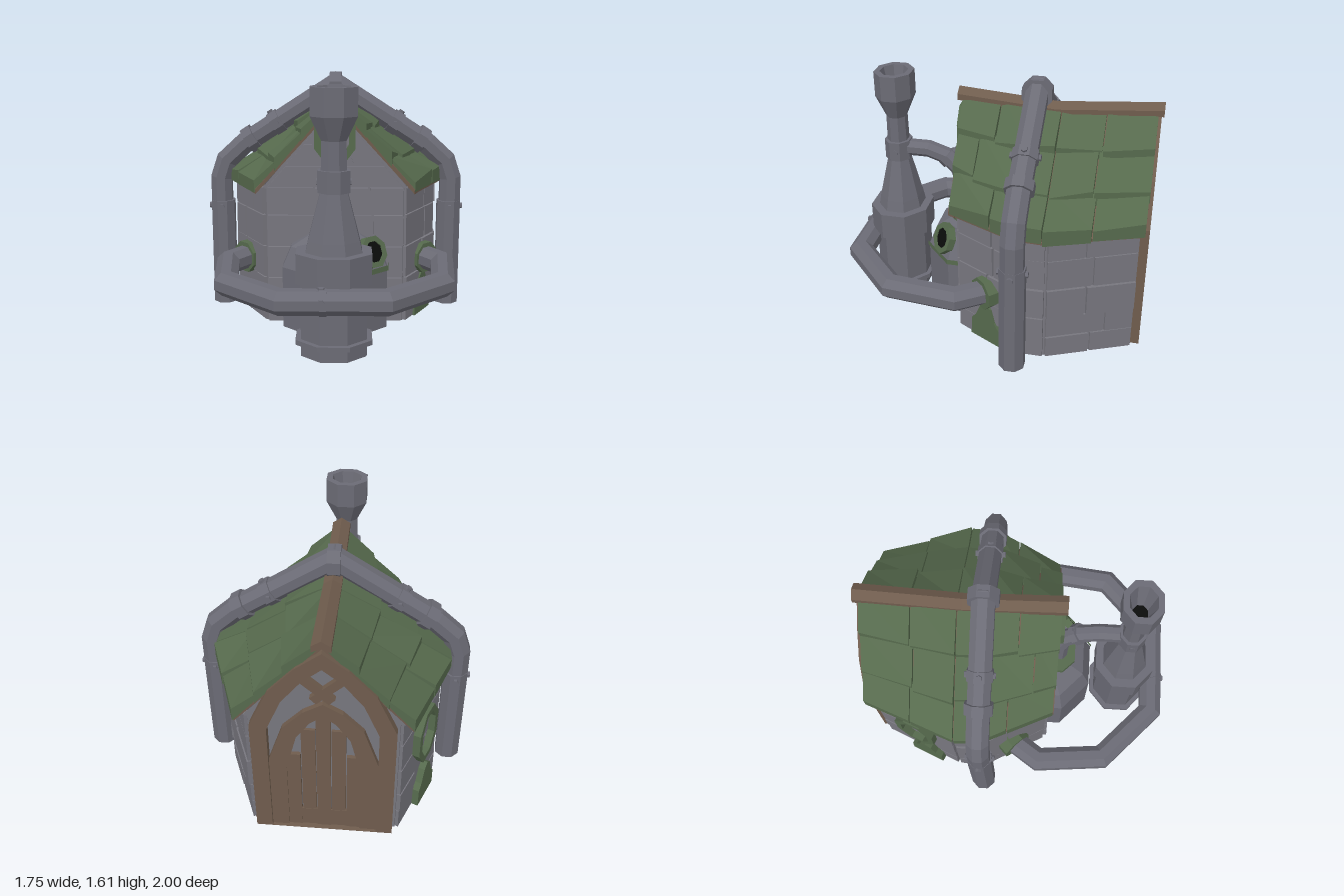
import * as THREE from 'three';

const V = (x, y, z) => new THREE.Vector3(x, y, z);
const std = (name, color, side = THREE.DoubleSide) => {
  const m = new THREE.MeshStandardMaterial({ color, side });
  m.name = name;
  return m;
};

export function createModel() {
  const model = new THREE.Group();
  model.name = 'stoneWorkshop';
  const stone = std('stone', 0x77767e), metal = std('metal', 0x6b6b75);
  const green = std('mossGreen', 0x566a4d), wood = std('wood', 0x6f5c4d), black = std('blackOpening', 0x0b0c0b);
  let seed = 7;
  const rnd = () => (seed = (seed * 16807) % 2147483647) / 2147483647;

  const add = (name, geo, mat) => {
    const g = geo.index ? geo.toNonIndexed() : geo;
    g.computeVertexNormals(); // faceted normals
    const m = new THREE.Mesh(g, mat);
    m.name = name;
    model.add(m);
    return m;
  };
  // Skin over a series of equal-sized rings of points
  const loft = (rings, caps = true) => {
    const pos = [], n = rings[0].length;
    const tri = (...p) => p.forEach(v => pos.push(v.x, v.y, v.z));
    for (let i = 0; i + 1 < rings.length; i++)
      for (let j = 0; j < n; j++) {
        const k = (j + 1) % n, a = rings[i], b = rings[i + 1];
        tri(a[j], a[k], b[k]);
        tri(a[j], b[k], b[j]);
      }
    if (caps) {
      const a = rings[0], b = rings[rings.length - 1];
      for (let j = 1; j < n - 1; j++) { tri(a[0], a[j + 1], a[j]); tri(b[0], b[j], b[j + 1]); }
    }
    return new THREE.BufferGeometry().setAttribute('position', new THREE.Float32BufferAttribute(pos, 3));
  };
  // Block between an outer quad and an inner quad; flip for mirrored sides
  const slab = (inner, outer, flip) => loft(flip ? [[...inner].reverse(), [...outer].reverse()] : [inner, outer]);
  // Eight-sided mitred pipe along a flat path with plane normal b
  const pipe = (path, r, b) => loft(path.map((p, i) => {
    const t0 = p.clone().sub(path[Math.max(i - 1, 0)]).normalize();
    const t1 = path[Math.min(i + 1, path.length - 1)].clone().sub(p).normalize();
    if (i === 0) t0.copy(t1);
    if (i === path.length - 1) t1.copy(t0);
    const t = t0.clone().add(t1).normalize(), n = b.clone().cross(t), k = r / 0.95 / t.dot(t0);
    return Array.from({ length: 8 }, (_, j) => {
      const a = (j + 0.5) * Math.PI / 4;
      return p.clone().addScaledVector(n, Math.cos(a) * k).addScaledVector(b, Math.sin(a) * r / 0.95);
    });
  }));
  // Short cylinder centred at p along direction d
  const disc = (name, p, d, r, h, mat, sides = 8) => {
    const g = new THREE.CylinderGeometry(r, r, h, sides);
    g.rotateY(Math.PI / sides);
    const m = add(name, g, mat);
    m.position.copy(p);
    m.quaternion.setFromUnitVectors(V(0, 1, 0), d.clone().normalize());
    return m;
  };
  const bolt = (p, d) => disc('bolt', p, d, 0.02, 0.03, metal, 6);
  const poly = pts => new THREE.Shape(pts.map(p => new THREE.Vector2(p[0], p[1])));
  const extrude = (shape, depth) => new THREE.ExtrudeGeometry(shape, { depth, bevelEnabled: false });

  // Wall core, open below
  const half = [[0.44, 0.185], [0.66, -0.2], [0.66, -0.4], [0.44, -0.93]];
  const plan = [[-0.44, 0.185], ...half, ...half.slice(1).reverse().map(p => [-p[0], p[1]])];
  add('wallCore', loft([0, 0.91].map(y => plan.map(p => V(p[0], y, p[1]))), false), stone);
  for (const z of [0.185, -0.93]) {
    const g = add('gableWall', new THREE.ShapeGeometry(poly([[-0.47, 0.89], [0.47, 0.89], [0, 1.44]])), stone);
    g.position.z = z;
  }
  // Stone blocks
  const rows = [0, 0.15, 0.3, 0.51, 0.72, 0.9];
  const blocks = (p, q, y0, y1, cuts, slope = 0) => {
    const d = V(q[0] - p[0], 0, q[1] - p[1]), n = V(-d.z, 0, d.x).normalize();
    for (let i = 0; i + 1 < cuts.length; i++) {
      const out = 0.012 + rnd() * 0.016, g = 0.007;
      const at = (f, y, o, s) => {
        const k = 0.5 + (f - 0.5) * (y === y1 ? 1 - slope : 1);
        return V(p[0] + d.x * k, y, p[1] + d.z * k).addScaledVector(n, o).addScaledVector(d.clone().normalize(), s * g);
      };
      const quad = o => [at(cuts[i], y0, o, 1), at(cuts[i + 1], y0, o, -1), at(cuts[i + 1], y1, o, -1), at(cuts[i], y1, o, 1)];
      const a = quad(-0.01), b = quad(out);
      [a, b].forEach(r => { r[0].y += g / 2; r[1].y += g / 2; r[2].y -= g / 2; r[3].y -= g / 2; });
      add('stoneBlock', slab(a, b), stone);
    }
  };
  plan.forEach((p, i) => {
    if (i === 4) return; // doorway side
    const q = plan[(i + 1) % plan.length], len = Math.hypot(q[0] - p[0], q[1] - p[1]);
    for (let r = 0; r < 5; r++) {
      const c = 0.3 + rnd() * 0.4;
      blocks(p, q, rows[r], rows[r + 1], len < 0.3 ? [0, 1] : len > 0.7 ? [0, c * 0.6, c * 0.6 + 0.4, 1] : [0, c, 1]);
    }
  });
  [0.9, 1.04, 1.18, 1.34].forEach((y, i, a) => {
    if (i === 3) return;
    const w = 0.44 * (1.42 - y) / 0.52, w2 = 0.44 * (1.42 - a[i + 1]) / 0.52;
    blocks([-w, 0.185], [w, 0.185], y, a[i + 1], i === 1 ? [0, 0.35, 0.7, 1] : [0, 0.5, 1], 1 - w2 / w);
  });

  // Roof: ruled surface from sagging ridge to bulging eave
  const along = (z, pts) => {
    for (let i = 0; i + 1 < pts.length; i++)
      if (z >= pts[i + 1][0] || i === pts.length - 2)
        return THREE.MathUtils.mapLinear(z, pts[i][0], pts[i + 1][0], pts[i][1], pts[i + 1][1]);
  };
  const eave = z => along(z, [[0.25, 0.5], [-0.2, 0.715], [-0.38, 0.725], [-0.97, 0.515]]);
  const ridge = z => along(z, [[0.25, 1.48], [-0.35, 1.435], [-0.97, 1.48]]);
  const roof = (s, u, z, lift) => V(s * eave(z) * u, THREE.MathUtils.lerp(ridge(z), 0.91, u) + lift, z);
  const deckZ = [0.22, 0.08, -0.06, -0.2, -0.38, -0.53, -0.67, -0.81, -0.955];
  for (const s of [1, -1]) {
    for (let i = 0; i + 1 < deckZ.length; i++)
      for (const [u0, u1] of [[0, 0.5], [0.5, 0.99]]) {
        const q = l => [[u0, i], [u1, i], [u1, i + 1], [u0, i + 1]].map(([u, k]) => roof(s, u, deckZ[k], l));
        add('roofDeck', slab(q(-0.05), q(-0.032), s < 0), wood);
      }
    [[0, 0.38], [0.33, 0.71], [0.66, 1]].forEach(([u0, u1], r) => {
      const cuts = [[0.25, 0, -0.2, -0.38, -0.66, -0.97], [0.245, 0.1, -0.18, -0.38, -0.64, -0.97], [0.235, -0.05, -0.2, -0.38, -0.66, -0.965]][r];
      for (let i = 0; i < 5; i++) {
        const za = cuts[i] - 0.004, zb = cuts[i + 1] + 0.004, e = u1 + rnd() * (r < 2 ? 0.05 : 0.02);
        const h1 = 0.025 + rnd() * 0.045, h2 = 0.025 + rnd() * 0.045;
        const top = [roof(s, u0, za, 0.01), roof(s, e, za, h1), roof(s, e, zb, h2), roof(s, u0, zb, 0.01)];
        const bot = [roof(s, u0, za, -0.022), roof(s, e, za, -0.032), roof(s, e, zb, -0.032), roof(s, u0, zb, -0.022)];
        add('shingle', slab(bot, top, s < 0), green);
      }
    });
    const f = z => [roof(s, 0, z, -0.06), roof(s, 1, z, -0.045), roof(s, 1, z, -0.015), roof(s, 0, z, -0.015)];
    add('gableTrim', slab(f(0.19), f(0.238), s < 0), wood);
  }
  add('ridgeBeam', loft([[0.28, 1.515], [-0.35, 1.465], [-1, 1.515]].map(([z, y]) =>
    [[0, 0], [0.055, -0.035], [0.055, -0.075], [0, -0.05], [-0.055, -0.075], [-0.055, -0.035]].map(p => V(p[0], y + p[1], z)))), wood);

  // Arched doorway at the back
  const arch = (w, spring, mid, top) => [[-w, 0], [w, 0], [w, spring], [w * 0.72, mid], [w * 0.35, (mid + top) / 2 + 0.03], [0, top],
    [-w * 0.35, (mid + top) / 2 + 0.03], [-w * 0.72, mid], [-w, spring]];
  const archFrame = (name, a, b, z, depth) => {
    const s = poly(arch(...a));
    s.holes.push(new THREE.Path(arch(...b).map(p => new THREE.Vector2(p[0], Math.max(p[1], 0.002)))));
    add(name, extrude(s, depth), wood).position.z = z;
  };
  archFrame('outerDoorArch', [0.425, 0.86, 1.13, 1.42], [0.325, 0.84, 1.06, 1.31], -0.985, 0.07);
  archFrame('innerDoorArch', [0.33, 0.56, 0.84, 1.04], [0.22, 0.52, 0.77, 0.95], -0.965, 0.05);
  for (let i = 0; i < 5; i++) {
    const x = -0.18 + i * 0.09, h = [0.62, 0.82, 0.97, 0.82, 0.62][i];
    add('doorPlank', new THREE.BoxGeometry(0.084, h, 0.03), wood).position.set(x, h / 2, -0.94 + (i % 2) * 0.008);
  }
  for (const s of [1, -1]) {
    const m = add('archBrace', new THREE.BoxGeometry(0.3, 0.055, 0.035), wood);
    m.position.set(s * 0.055, 1.17, -0.955);
    m.rotation.z = s * 0.75;
  }
  add('doorSill', new THREE.BoxGeometry(0.76, 0.14, 0.32), wood).position.set(0, 0.07, -0.79);

  // Elongated eight-sided frames
  const frame = (name, p, d, rx, ry, band, depth) => {
    const ring = k => Array.from({ length: 8 }, (_, j) => {
      const a = (j + 0.5) * Math.PI / 4;
      return [Math.cos(a) * (rx - k), Math.sin(a) * (ry - k)];
    });
    const s = poly(ring(0));
    s.holes.push(poly(ring(band)));
    const m = add(name, extrude(s, depth), green);
    m.position.copy(p);
    m.lookAt(p.clone().add(d));
  };
  frame('gableWindowFrame', V(0, 1.23, 0.18), V(0, 0, 1), 0.14, 0.185, 0.045, 0.09);
  frame('sideWindowFrame', V(-0.55, 0.585, -0.645), V(-0.92, 0, -0.38), 0.15, 0.22, 0.045, 0.075);

  // Mossy buttresses, set deep into the wall
  const buttress = (p, d) => {
    const shape = poly([[-0.12, 0], [0.12, 0], [0.115, 0.12], [0.075, 0.17], [0.045, 0.26], [0, 0.295], [-0.04, 0.26], [-0.08, 0.17], [-0.115, 0.13]]);
    const m = add('buttress', extrude(shape, 0.2), green);
    m.position.copy(p).addScaledVector(d, -0.13);
    m.lookAt(m.position.clone().add(d));
  };
  buttress(V(0.53, 0, -0.04), V(0.876, 0, 0.482));
  buttress(V(-0.565, 0, -0.61), V(-0.924, 0, -0.382));

  // Pipe arching over the roof
  const over = [[0.785, 0.6], [0.785, 0.89], [0.745, 1.01], [0.62, 1.125], [0, 1.525]];
  const overPath = [...over, ...over.slice(0, 4).reverse().map(p => [-p[0], p[1]])].map(p => V(p[0], p[1], -0.22));
  add('roofPipe', pipe(overPath, 0.072, V(0, 0, 1)), metal);
  disc('peakJoint', V(0, 1.51, -0.22), V(1, 0, 0), 0.102, 0.08, metal);
  const slope = V(-0.62, 0.4, 0).normalize();
  for (const s of [1, -1]) {
    add('downPipe', pipe([V(s * 0.778, 0, -0.22), V(s * 0.778, 0.73, -0.22)], 0.08, V(0, 0, 1)), metal);
    const d = V(s * slope.x, slope.y, 0), n = V(s * slope.y, -slope.x, 0);
    disc('pipeBand', V(s * 0.575, 1.154, -0.22), d, 0.094, 0.07, metal);
    disc('pipeBand', V(s * 0.4, 1.267, -0.22), d, 0.086, 0.07, metal);
    for (const z of [0.08, -0.08]) {
      bolt(V(s * 0.778, 0.69, -0.22 + z), V(0, 0, 1));
      bolt(V(s * 0.4, 1.267, -0.22 + z), V(0, 0, 1));
    }
    bolt(V(s * 0.858, 0.69, -0.22), V(1, 0, 0));
    bolt(V(s * 0.4, 1.267, -0.22).addScaledVector(n, 0.08), n);
  }

  // Ring pipe around the front, with wall collars
  const loop = [[0.56, -0.05], [0.7, 0.16], [0.655, 0.59], [0.305, 0.915]];
  const loopPath = [...loop, ...[...loop].reverse().map(p => [-p[0], p[1]])].map(p => V(p[0], 0.385, p[1]));
  add('ringPipe', pipe(loopPath, 0.074, V(0, 1, 0)), metal);
  disc('ringPipeJoint', V(-0.06, 0.385, 0.915), V(1, 0, 0), 0.083, 0.04, metal);
  bolt(V(-0.07, 0.405, 0.985), V(0, 0, 1));
  bolt(V(-0.07, 0.455, 0.915), V(0, 1, 0));
  bolt(V(-0.07, 0.315, 0.915), V(0, 1, 0));
  for (const s of [1, -1]) disc('pipeCollar', V(s * 0.58, 0.385, -0.02), V(s * 0.7, 0, 0.7), 0.108, 0.1, green);

  // Chimney tower
  const profile = [[0, 0], [0.195, 0], [0.195, 0.075], [0.227, 0.075], [0.227, 0.105], [0.195, 0.105], [0.195, 0.45], [0.222, 0.45], [0.222, 0.63],
    [0.165, 0.63], [0.15, 0.7], [0.08, 0.98], [0.095, 0.98], [0.095, 1.11], [0.075, 1.11], [0.072, 1.28], [0.136, 1.42], [0.136, 1.585], [0.095, 1.585], [0.05, 1.4]];
  const lathe = (pts, sides) => {
    const g = new THREE.LatheGeometry(pts.map(p => new THREE.Vector2(p[0] / 0.924, p[1])), sides);
    return g.rotateY(Math.PI / sides);
  };
  const tower = add('chimneyTower', lathe(profile, 8), metal);
  tower.position.z = 0.707;
  tower.scale.z = 0.87;
  disc('chimneyOpening', V(0, 1.405, 0.707), V(0, 1, 0), 0.056, 0.008, black);
  for (const s of [1, -1]) bolt(V(s * 0.085, 1.04, 0.707), V(1, 0, 0));

  // Boiler against the front wall
  const boiler = add('boiler', lathe([[0.335, 0], [0.335, 0.4], [0.28, 0.53], [0.16, 0.6], [0, 0.6]], 8), metal);
  boiler.position.z = 0.175;
  boiler.scale.z = 0.92;
  disc('boilerCap', V(0, 0.612, 0.235), V(0, 1, 0), 0.145, 0.035, green);
  const band = add('boilerBand', new THREE.CylinderGeometry(0.372, 0.372, 0.035, 2, 1, true, Math.PI / 8, Math.PI / 2), green);
  band.position.set(0, 0.4, 0.175);
  band.scale.z = 0.92;
  const look = V(0.6, 0.35, 0.7).normalize(), port = V(0.22, 0.505, 0.33);
  disc('portholeNeck', port.clone().addScaledVector(look, -0.04), look, 0.088, 0.1, metal);
  frame('portholeRim', port, look, 0.106, 0.106, 0.036, 0.05);
  disc('portholeOpening', port.clone().addScaledVector(look, 0.038), look, 0.078, 0.008, black);

  // Feed pipe from boiler to tower
  add('feedPipe', pipe([[0.6, 0.26], [0.82, 0.265], [0.93, 0.3], [1.01, 0.38], [1.05, 0.5], [1.05, 0.68]].map(p => V(0, p[0], p[1])), 0.053, V(1, 0, 0)), metal);
  disc('feedPipeBand', V(0, 1.0, 0.365), V(0, 0.7, 0.7), 0.07, 0.05, metal);
  bolt(V(0, 1.055, 0.32), V(0, 0.7, -0.7));

  return model;
}
